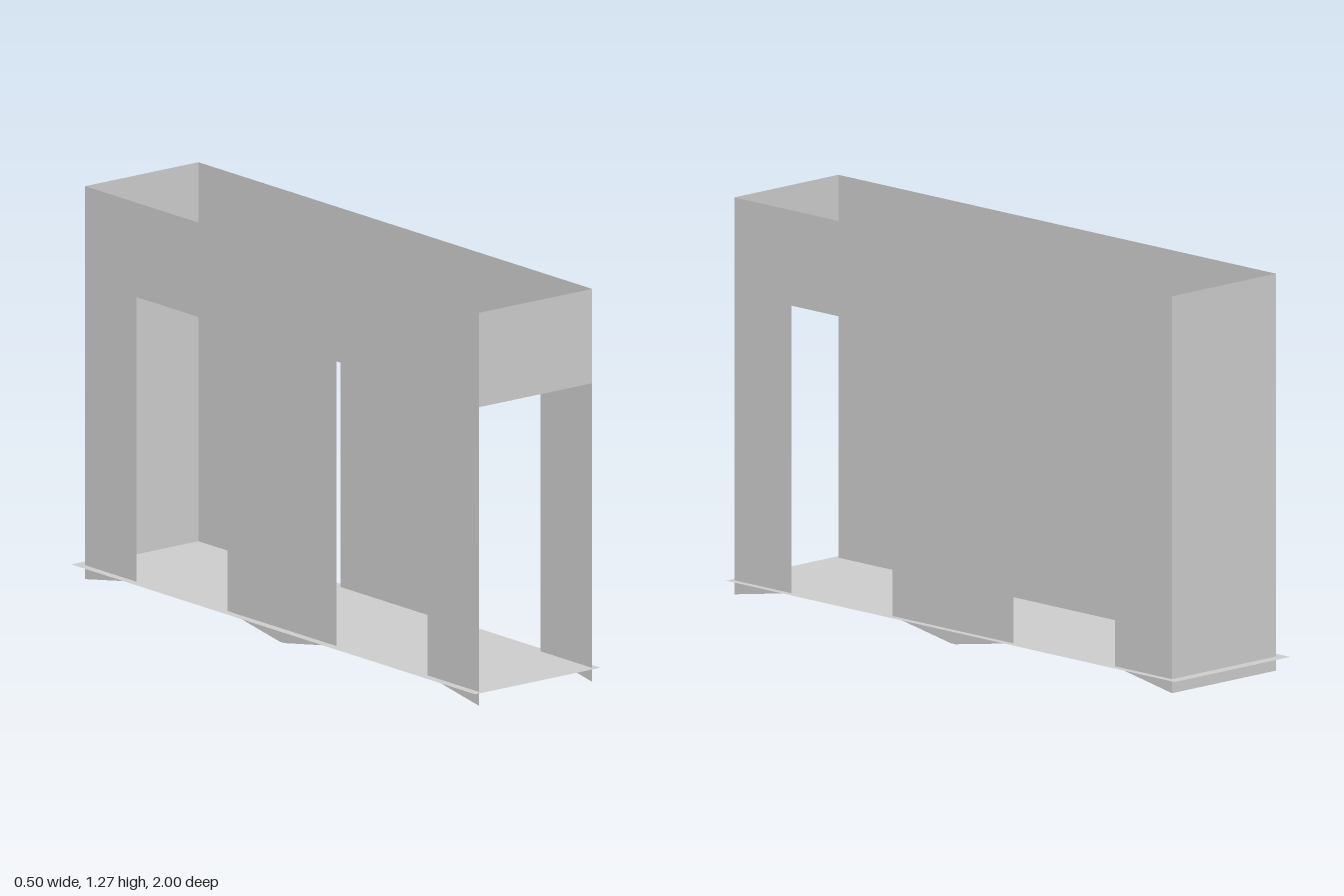
import * as THREE from 'three';

const TOP = 1.27, HEAD = 0.965, FLOOR = 0.045;
const LEFT = 0.23, RIGHT = -0.225, FRONT = 0.985, BACK = -0.965;

export function createModel() {
  const model = new THREE.Group();
  const material = new THREE.MeshStandardMaterial({
    color: 0xcccccc, side: THREE.DoubleSide, flatShading: true,
  });

  function add(name, geometry, x, y, z) {
    const mesh = new THREE.Mesh(geometry, material);
    mesh.name = name;
    mesh.position.set(x, y, z);
    model.add(mesh);
  }

  // Thin side wall with two doorways; the feet slope down below the floor.
  const outline = [
    [FRONT, TOP], [FRONT, 0], [0.73, FLOOR], [0.73, HEAD], [0.28, HEAD],
    [0.28, FLOOR], [0.02, 0], [0, 0], [-0.26, FLOOR], [-0.26, HEAD],
    [-0.71, HEAD], [-0.71, FLOOR], [BACK, 0], [BACK, TOP],
  ];
  const wallShape = new THREE.Shape(outline.map(([z, y]) => new THREE.Vector2(-z, y)));
  const wall = new THREE.ShapeGeometry(wallShape).rotateY(Math.PI / 2);
  add('leftWall', wall, LEFT, 0, 0);
  add('rightWall', wall, RIGHT, 0, 0);

  // End panels: a short header over the open front, a full-height back.
  const width = LEFT - RIGHT, midX = (LEFT + RIGHT) / 2;
  add('frontHeader', new THREE.PlaneGeometry(width, TOP - HEAD), midX, (TOP + HEAD) / 2, FRONT);
  add('backWall', new THREE.PlaneGeometry(width, TOP).rotateY(Math.PI), midX, TOP / 2, BACK);

  // Floor sheet, slightly wider and longer than the walls.
  add('floor', new THREE.PlaneGeometry(0.505, 2).rotateX(-Math.PI / 2), 0, FLOOR, 0);

  return model;
}
